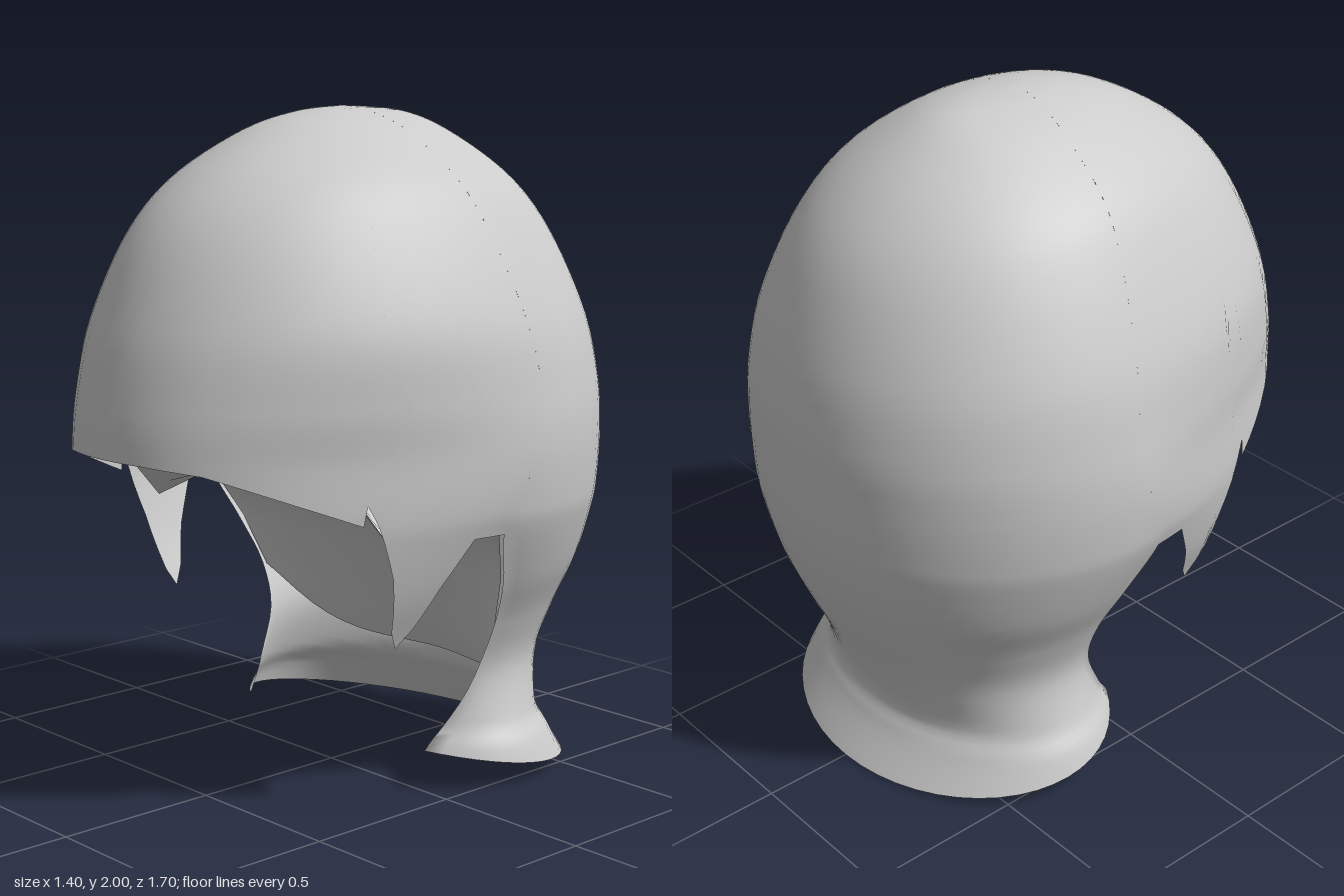
import * as THREE from 'three';

// Cross-sections from crown to hem:
// [y, half width, front z, centre z, back z, side edge z, forward wrap (radians), cheek pinch]
const SECTIONS = [
  [2.0, 0, -0.04, -0.04, -0.04, -0.04, 0, 0],
  [1.985, 0.11, 0.11, -0.05, -0.25, -0.05, 0, 0],
  [1.93, 0.25, 0.29, -0.07, -0.39, -0.07, 0, 0],
  [1.8, 0.43, 0.51, -0.09, -0.57, -0.09, 0, 0],
  [1.64, 0.54, 0.66, -0.12, -0.7, -0.12, 0, 0],
  [1.4, 0.645, 0.775, -0.16, -0.8, -0.16, 0, 0],
  [1.2, 0.687, 0.83, -0.18, -0.84, -0.18, 0, 0.04],
  [1.05, 0.7, 0.85, -0.15, -0.845, -0.15, 0.05, 0.09],
  [0.9, 0.69, 0.85, -0.095, -0.84, -0.095, 0.15, 0.08],
  [0.81, 0.67, 0.85, -0.065, -0.83, -0.065, 0.22, 0.06],
  [0.65, 0.605, 0.85, -0.06, -0.79, -0.13, 0.2, 0.02],
  [0.5, 0.53, 0.85, -0.06, -0.73, -0.17, 0.17, 0],
  [0.35, 0.485, 0.85, -0.06, -0.66, -0.155, 0.27, 0],
  [0.2, 0.515, 0.85, -0.06, -0.61, -0.07, 0.6, 0],
  [0.12, 0.56, 0.85, -0.06, -0.64, -0.01, 0.78, 0],
  [0, 0.6, 0.85, -0.06, -0.725, 0.05, 0.85, 0],
];
const LAST = SECTIONS.length - 1;
const material = new THREE.MeshStandardMaterial({ color: 0xcccccc, side: THREE.DoubleSide });

// Smoothly interpolated section at index u
function section(u) {
  const i = Math.min(Math.floor(u), LAST - 1), t = u - i;
  const at = k => SECTIONS[THREE.MathUtils.clamp(k, 0, LAST)];
  const [p0, p1, p2, p3] = [at(i - 1), at(i), at(i + 1), at(i + 2)];
  return p1.map((b, k) => {
    const m1 = (p2[k] - p0[k]) / 2, m2 = (p3[k] - b) / 2, d = b - p2[k];
    return b + t * (m1 + t * (-3 * d - 2 * m1 - m2 + t * (2 * d + m1 + m2)));
  });
}

// Section index at a height
function indexAt(y) {
  let lo = 0, hi = LAST;
  for (let k = 0; k < 30; k++) {
    const mid = (lo + hi) / 2;
    if (section(mid)[0] > y) lo = mid; else hi = mid;
  }
  return hi;
}

// Point on the shell; angle 0 faces front, PI the back
function surface(angle, u) {
  const mirrored = angle < 0 || angle > Math.PI;
  const a = angle > Math.PI ? 2 * Math.PI - angle : Math.abs(angle);
  const [y, w, front, centre, back, edge, wrap, pinch] = section(u);
  let x, z;
  if (a < Math.PI / 2) {
    x = w * Math.cos(wrap) * Math.sin(a) * (1 - pinch * Math.sin(2 * a));
    z = centre + (front - centre) * Math.cos(a);
  } else {
    const b = a - wrap * (Math.PI - a) / (Math.PI / 2);
    const r = (edge - back) / (1 + Math.sin(wrap));
    x = w * Math.sin(b);
    z = back + r + r * Math.cos(b);
  }
  return new THREE.Vector3(mirrored ? -x : x, y, z);
}

// Mesh from a grid of points, columns by rows, with optional normals
function gridMesh(name, points, normals) {
  const rows = points[0].length, index = [];
  for (let c = 0; c < points.length - 1; c++) {
    for (let r = 0; r < rows - 1; r++) {
      const a = c * rows + r, b = a + rows;
      index.push(a, a + 1, b, b, a + 1, b + 1);
    }
  }
  const geometry = new THREE.BufferGeometry().setFromPoints(points.flat());
  geometry.setIndex(index);
  geometry.computeVertexNormals();
  if (normals) normals.flat().forEach((n, i) => geometry.attributes.normal.setXYZ(i, n.x, n.y, n.z));
  const mesh = new THREE.Mesh(geometry, material);
  mesh.name = name;
  return mesh;
}

// Sheet hung from the crown; every column stops at its own rim
function sheet(name, columns, rows) {
  const e = 0.01, points = [], normals = [];
  for (const { angle, y } of columns) {
    const end = indexAt(y);
    const us = Array.from({ length: rows + 1 }, (_, r) => end * r / rows);
    points.push(us.map(u => surface(angle, u)));
    normals.push(us.map(u => {
      if (u === 0) return new THREE.Vector3(0, 1, 0);
      const v = Math.max(u, 0.05);
      const down = surface(angle, Math.min(v + e, LAST)).sub(surface(angle, v - e));
      const round = surface(angle + e, v).sub(surface(angle - e, v));
      return down.cross(round).normalize();
    }));
  }
  return gridMesh(name, points, normals);
}

// Front rim as side-on points [z, y]: brow, small step, cheek point, ear notch
function frontColumns() {
  const rim = [[0.85, 1.05], [0.83, 1.048], [0.74, 1.03], [0.55, 0.95], [0.38, 0.88],
    [0.37, 0.94], [0.34, 0.88], [0.28, 0.72], [0.24, 0.55], [0.21, 0.495],
    [0.17, 0.55], [0.12, 0.67], [0.04, 0.81], [-0.06, 0.81]];
  const half = [];
  rim.forEach(([z, y], i) => {
    const [z2, y2] = rim[i + 1] ?? [z, y];
    const steps = i < rim.length - 1 ? 3 : 1;
    for (let k = 0; k < steps; k++) {
      const t = k / steps, yy = y + (y2 - y) * t;
      const [, , front, centre] = section(indexAt(yy));
      const cos = (z + (z2 - z) * t - centre) / (front - centre);
      half.push({ angle: Math.acos(THREE.MathUtils.clamp(cos, 0, 1)), y: yy });
    }
  });
  half[0].angle = 0;
  half[half.length - 1].angle = Math.PI / 2 - 1e-6;
  const mirrored = half.slice(1).reverse().map(p => ({ angle: -p.angle, y: p.y }));
  return [...mirrored, ...half];
}

// Columns around the back, ending at the sloping hem
function backColumns(count) {
  return Array.from({ length: count + 1 }, (_, i) => {
    const angle = Math.PI * (0.5 + i / count);
    const a = Math.min(angle, 2 * Math.PI - angle);
    const b = a - 0.78 * (Math.PI - a) / (Math.PI / 2);
    return { angle, y: 0.12 * (1 + Math.cos(b)) / 1.71 };
  });
}

// Inner surface: a ceiling sloping back from behind the brow, then a wall down to the nape.
// Each row spans side to side: [side x, side y, side z, middle y, middle z]
function lining() {
  const rows = [
    [0.03, 1.33, 0.78, 1.33, 0.78],
    [0.3, 1.24, 0.69, 1.25, 0.7],
    [0.46, 1.08, 0.53, 1.13, 0.56],
    [0.53, 0.94, 0.38, 1.03, 0.4],
    [0.53, 0.79, 0.25, 0.95, 0.25],
    [0.6, 0.81, 0.05, 0.88, 0.05],
    [0.64, 0.81, -0.06, 0.82, -0.14],
    [0.58, 0.66, -0.135, 0.62, -0.28],
    [0.515, 0.5, -0.18, 0.4, -0.37],
    [0.49, 0.47, -0.21, 0.27, -0.46],
  ];
  const across = 24;
  const points = Array.from({ length: across + 1 }, (_, c) => {
    const s = 1 - 2 * c / across;
    return rows.map(([x, y, z, my, mz]) =>
      new THREE.Vector3(x * s, my + (y - my) * s ** 4, mz + (z - mz) * s * s));
  });
  return gridMesh('innerLining', points);
}

export function createModel() {
  const group = new THREE.Group();
  group.name = 'hood';
  group.add(sheet('browAndCheeks', frontColumns(), 40));
  group.add(sheet('backAndNeckGuard', backColumns(40), 60));
  group.add(lining());
  return group;
}
